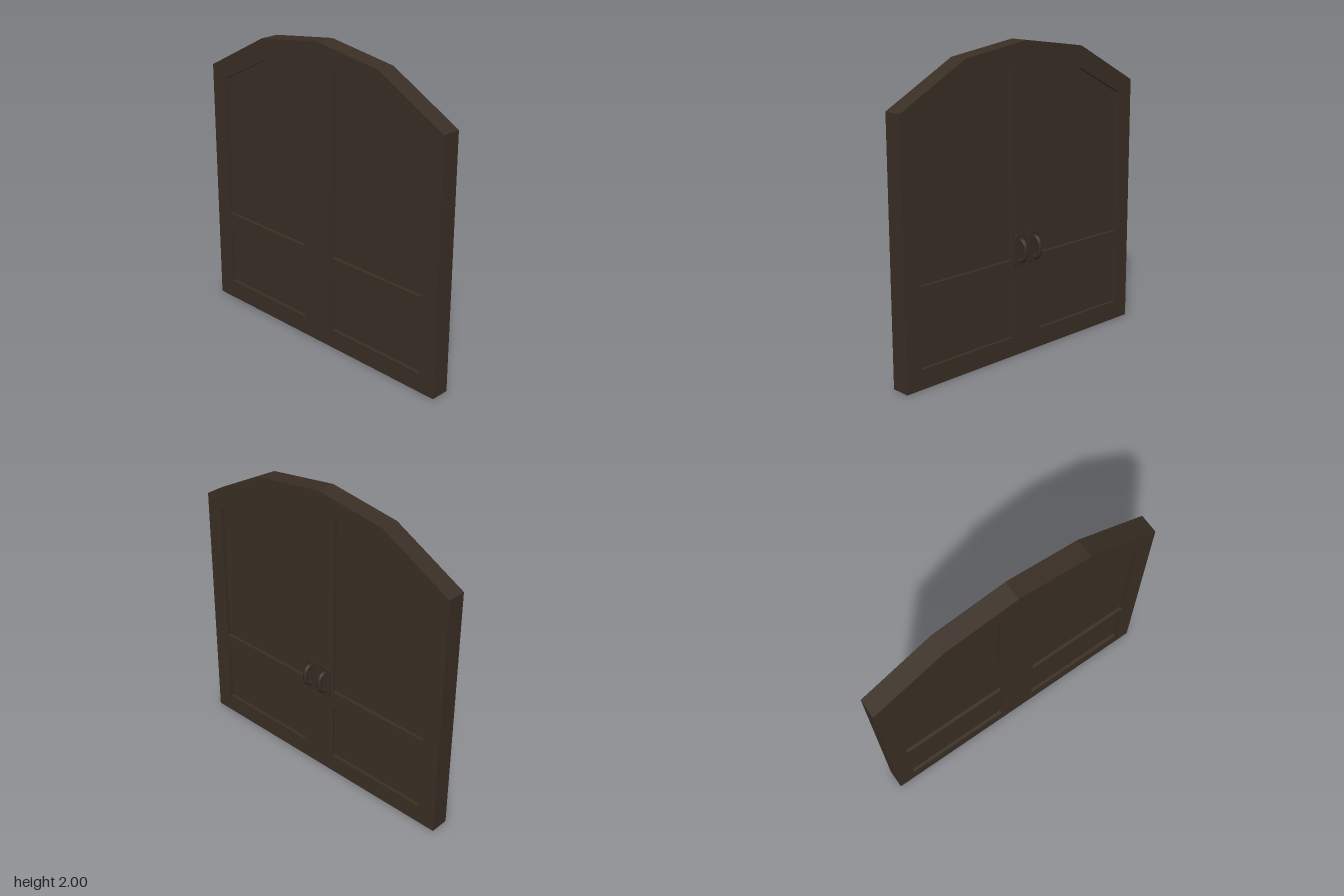
import * as THREE from 'three';

const BACK = -0.1, FRONT = 0.026, RECESS = 0.022;

// Polygon from [u, y] pairs; mirrored when side is -1
const poly = (pts, side = 1, Type = THREE.Shape) =>
  new Type(pts.map(([u, y]) => new THREE.Vector2(u * side, y)));

// Extrude a (u, y) shape along x, between x0 and x1
function slab(shape, x0, x1) {
  const g = new THREE.ExtrudeGeometry(shape, { depth: x1 - x0, bevelEnabled: false, curveSegments: 4 });
  g.translate(0, 0, x0);
  g.rotateY(Math.PI / 2);
  return g;
}

const OUTLINE = [[-0.98, 0], [0.98, 0], [0.98, 1.667], [0.49, 1.93], [0, 2], [-0.49, 1.93], [-0.98, 1.667]];
const UPPER = [[0.127, 0.64], [0.86, 0.64], [0.86, 1.592], [0.49, 1.785], [0.127, 1.857]];
const LOWER = [[0.127, 0.127], [0.86, 0.127], [0.86, 0.518], [0.127, 0.518]];

// Upright plate with rounded corners
function plateShape(w, h, r) {
  const s = new THREE.Shape(), a = w / 2, b = h / 2;
  s.moveTo(-a + r, -b).lineTo(a - r, -b).quadraticCurveTo(a, -b, a, -b + r);
  s.lineTo(a, b - r).quadraticCurveTo(a, b, a - r, b);
  s.lineTo(-a + r, b).quadraticCurveTo(-a, b, -a, b - r);
  s.lineTo(-a, -b + r).quadraticCurveTo(-a, -b, -a + r, -b);
  return s;
}

export function createModel() {
  const wood = new THREE.MeshStandardMaterial({ name: 'dark wood', color: 0x3a2f25 });
  const metal = new THREE.MeshStandardMaterial({ name: 'dark metal', color: 0x352d24 });
  const model = new THREE.Group();
  model.name = 'archedDoubleDoor';

  const add = (parent, name, geometry, material) => {
    const mesh = new THREE.Mesh(geometry, material);
    mesh.name = name;
    parent.add(mesh);
    return mesh;
  };

  // Arched frame, open where the panels sit
  const frame = poly(OUTLINE);
  for (const side of [1, -1])
    for (const pts of [UPPER, LOWER]) frame.holes.push(poly(pts, side, THREE.Path));
  add(model, 'doorFrame', slab(frame, BACK, FRONT), wood);

  // Pull handle bow, in the x-y plane
  const bow = new THREE.CatmullRomCurve3([
    [0.028, 0.761], [0.055, 0.759], [0.077, 0.735], [0.083, 0.695], [0.077, 0.655], [0.055, 0.631], [0.028, 0.629],
  ].map(([x, y]) => new THREE.Vector3(x, y, 0)));

  for (const side of [1, -1]) {
    const label = side > 0 ? 'right' : 'left';

    // Panels recessed on both faces
    add(model, label + 'UpperPanel', slab(poly(UPPER, -side), BACK + RECESS, FRONT - RECESS), wood);
    add(model, label + 'LowerPanel', slab(poly(LOWER, -side), BACK + RECESS, FRONT - RECESS), wood);

    // Handle with its backing plate, on the front face only
    const handle = new THREE.Group();
    handle.name = label + 'Handle';
    handle.position.z = side * 0.062;
    const plate = add(handle, 'handlePlate', slab(plateShape(0.085, 0.214, 0.03), FRONT - 0.002, 0.036), metal);
    plate.position.y = 0.693;
    add(handle, 'handleBow', new THREE.TubeGeometry(bow, 20, 0.015, 10, false), metal);
    model.add(handle);
  }
  return model;
}
